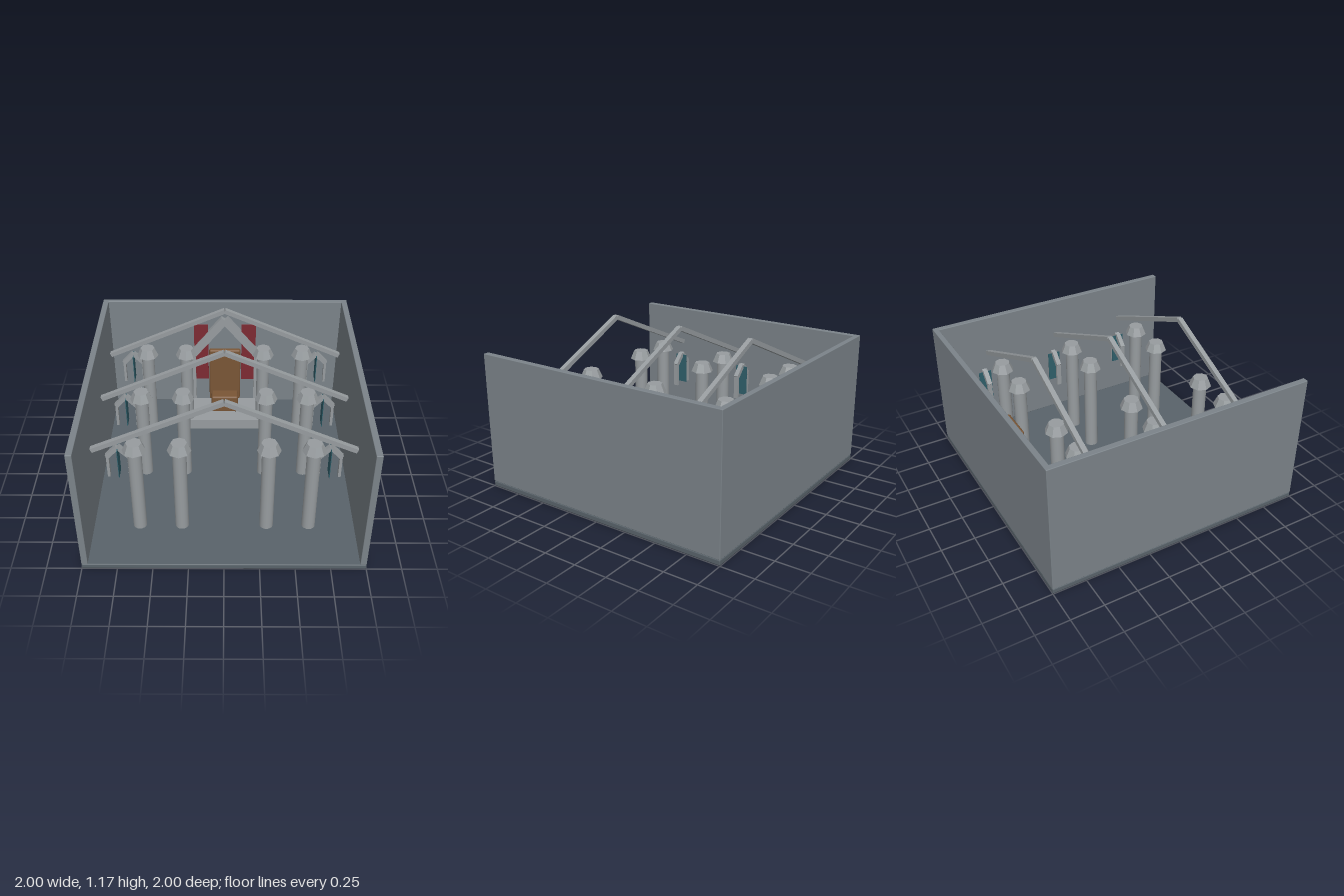
import * as THREE from 'three';
import { RoundedBoxGeometry } from 'three/addons/geometries/RoundedBoxGeometry.js';

const material = (color, extra = {}) => new THREE.MeshStandardMaterial({ color, ...extra });
const floorStone = material(0x59636a);
const wallStone = material(0x7b8389);
const paleStone = material(0x979c9f);
const flatStone = material(0x979c9f, { flatShading: true });
const wood = material(0x7a5636);
const cloth = material(0x7d2a33);
const glass = material(0x2f5f6b);

function add(parent, name, geometry, mat, x = 0, y = 0, z = 0) {
  const mesh = new THREE.Mesh(geometry, mat);
  mesh.name = name;
  mesh.position.set(x, y, z);
  parent.add(mesh);
  return mesh;
}

// Box given by its lower and upper corners, with optional softened edges
function block(parent, name, [x0, y0, z0], [x1, y1, z1], mat, radius = 0) {
  const size = [x1 - x0, y1 - y0, z1 - z0];
  const geometry = radius
    ? new RoundedBoxGeometry(...size, 2, radius)
    : new THREE.BoxGeometry(...size);
  return add(parent, name, geometry, mat, (x0 + x1) / 2, (y0 + y1) / 2, (z0 + z1) / 2);
}

// Mirrored pair of sloping beams that meet at x = 0
function gable(parent, name, apexY, footX, footY, thickness, depth) {
  const length = Math.hypot(footX, apexY - footY);
  for (const side of [-1, 1]) {
    const beam = add(parent, name, new THREE.BoxGeometry(length, thickness, depth), paleStone,
      side * footX / 2, (apexY + footY) / 2, 0);
    beam.rotation.z = Math.atan2(footY - apexY, side * footX);
  }
}

function pillar(x, z) {
  const group = new THREE.Group();
  group.name = 'pillar';
  group.position.set(x, 0, z);
  add(group, 'pillarShaft', new THREE.CylinderGeometry(0.05, 0.05, 0.71, 16), paleStone, 0, 0.395, 0);
  add(group, 'pillarCapital', new THREE.CylinderGeometry(0.056, 0.085, 0.067, 8), flatStone, 0, 0.782, 0);
  return group;
}

// Small gabled frame with a crosswise pane
function windowFrame(x, z) {
  const group = new THREE.Group();
  group.name = 'windowFrame';
  group.position.set(x, 0, z);
  gable(group, 'windowGable', 0.7, 0.08, 0.615, 0.034, 0.036);
  for (const side of [-1, 1]) {
    add(group, 'windowPost', new THREE.BoxGeometry(0.02, 0.19, 0.036), paleStone, side * 0.076, 0.53, 0);
  }
  add(group, 'windowPane', new THREE.BoxGeometry(0.005, 0.24, 0.1), glass, 0, 0.57, 0);
  return group;
}

export function createModel() {
  const model = new THREE.Group();
  model.name = 'throneHall';

  // Shell, open at the front and top
  block(model, 'floor', [-1, 0, -1], [1, 0.04, 1], floorStone, 0.008);
  block(model, 'backWall', [-1, 0.04, -1], [1, 1.035, -0.96], wallStone, 0.005);
  block(model, 'rightWall', [-1, 0.04, -1], [-0.955, 1.035, 1], wallStone, 0.005);
  block(model, 'leftWall', [0.955, 0.04, -1], [1, 1.035, 1], wallStone, 0.005);

  // Three bays of pillars, rafters and window frames
  for (const z of [-0.6, 0, 0.6]) {
    for (const x of [-0.62, -0.31, 0.31, 0.62]) model.add(pillar(x, z));
    const rafters = new THREE.Group();
    rafters.name = 'rafters';
    rafters.position.z = z;
    gable(rafters, 'rafter', 1.157, 0.915, 0.754, 0.034, 0.036);
    model.add(rafters);
    for (const x of [-0.75, 0.75]) model.add(windowFrame(x, z - 0.1));
  }

  // Arch and banners against the back wall
  const arch = new THREE.Group();
  arch.name = 'throneArch';
  arch.position.z = -0.94;
  gable(arch, 'archGable', 0.88, 0.275, 0.545, 0.07, 0.04);
  for (const side of [-1, 1]) {
    add(arch, 'archPost', new THREE.BoxGeometry(0.055, 0.5, 0.04), paleStone, side * 0.277, 0.29, 0);
    add(arch, 'banner', new THREE.BoxGeometry(0.12, 0.545, 0.008), cloth, side * 0.2, 0.557, 0);
  }
  model.add(arch);

  // Throne on its dais
  block(model, 'dais', [-0.337, 0.04, -0.86], [0.337, 0.13, -0.545], paleStone);
  const throne = new THREE.Group();
  throne.name = 'throne';
  block(throne, 'throneSeat', [-0.112, 0.125, -0.78], [0.112, 0.283, -0.665], wood, 0.015);
  block(throne, 'throneBack', [-0.13, 0.195, -0.805], [0.13, 0.688, -0.762], wood, 0.015);
  model.add(throne);

  return model;
}
